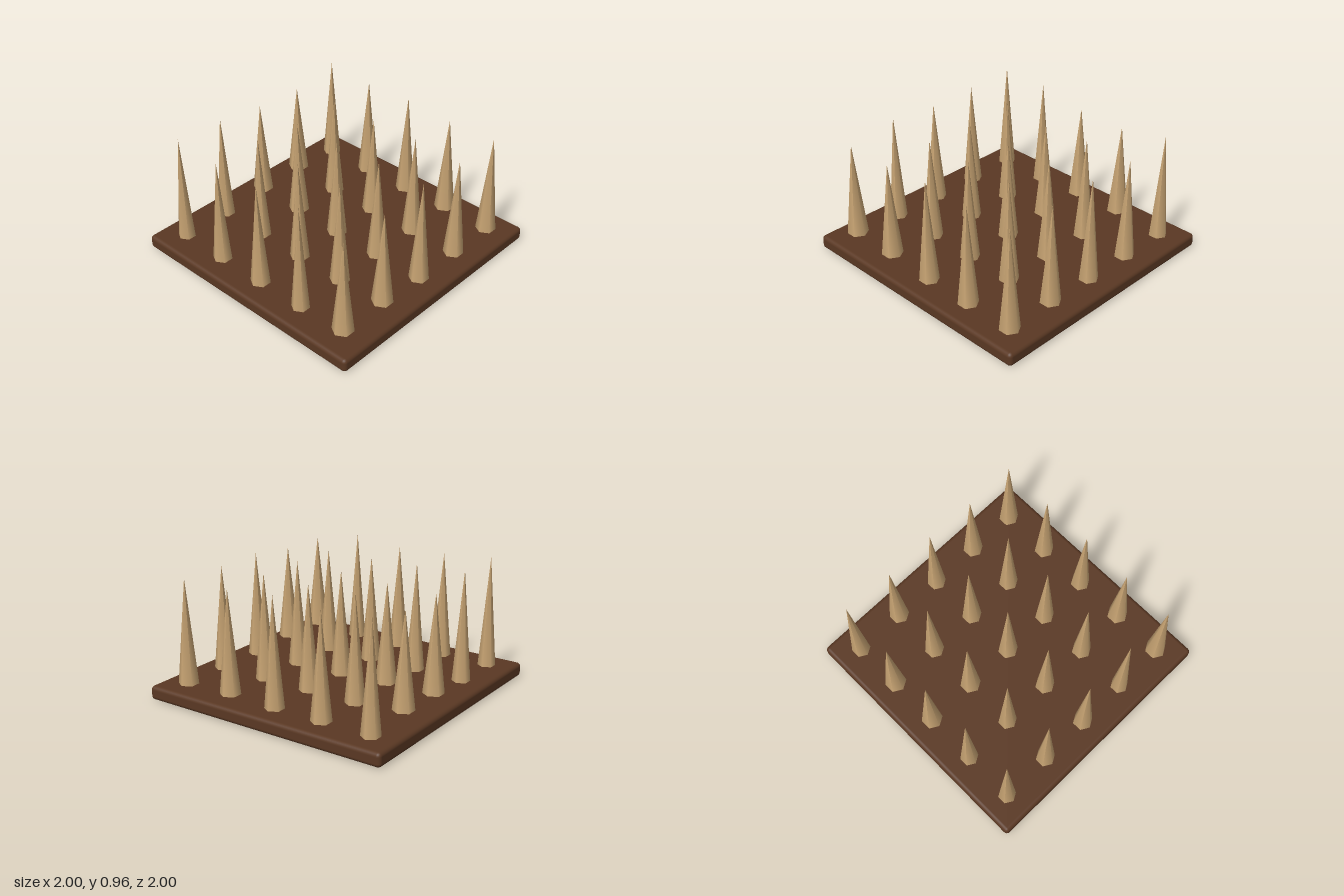
import * as THREE from 'three';
import { RoundedBoxGeometry } from 'three/addons/geometries/RoundedBoxGeometry.js';

export function createModel() {
  const group = new THREE.Group();
  const darkWood = new THREE.MeshStandardMaterial({ color: 0x5a3823 });
  const paleWood = new THREE.MeshStandardMaterial({ color: 0xc8a473 });

  // Rounded base board
  const board = new THREE.Mesh(new RoundedBoxGeometry(2, 0.107, 2, 3, 0.03), darkWood);
  board.name = 'board';
  board.position.y = 0.0535;
  group.add(board);

  // Tip heights of the spikes: rows from back to front, each from -x to +x
  const tips = [
    [0.94, 0.91, 0.93, 0.90, 0.91],
    [0.87, 0.92, 0.91, 0.92, 0.91],
    [0.88, 0.89, 0.91, 0.92, 0.92],
    [0.95, 0.94, 0.92, 0.92, 0.88],
    [0.96, 0.93, 0.92, 0.96, 0.88],
  ];

  // Six-sided spikes share one centre height; the taller ones are slimmer
  const centreY = 0.51;
  const spikes = new THREE.Group();
  spikes.name = 'spikes';
  tips.forEach((row, j) => row.forEach((tip, i) => {
    const radius = 0.08 - (tip - 0.88) * 0.11;
    const spike = new THREE.Mesh(new THREE.ConeGeometry(radius, 2 * (tip - centreY), 6), paleWood);
    spike.name = 'spike';
    spike.position.set((i - 2) * 0.4, centreY, (j - 2) * 0.4);
    spikes.add(spike);
  }));
  group.add(spikes);
  return group;
}
